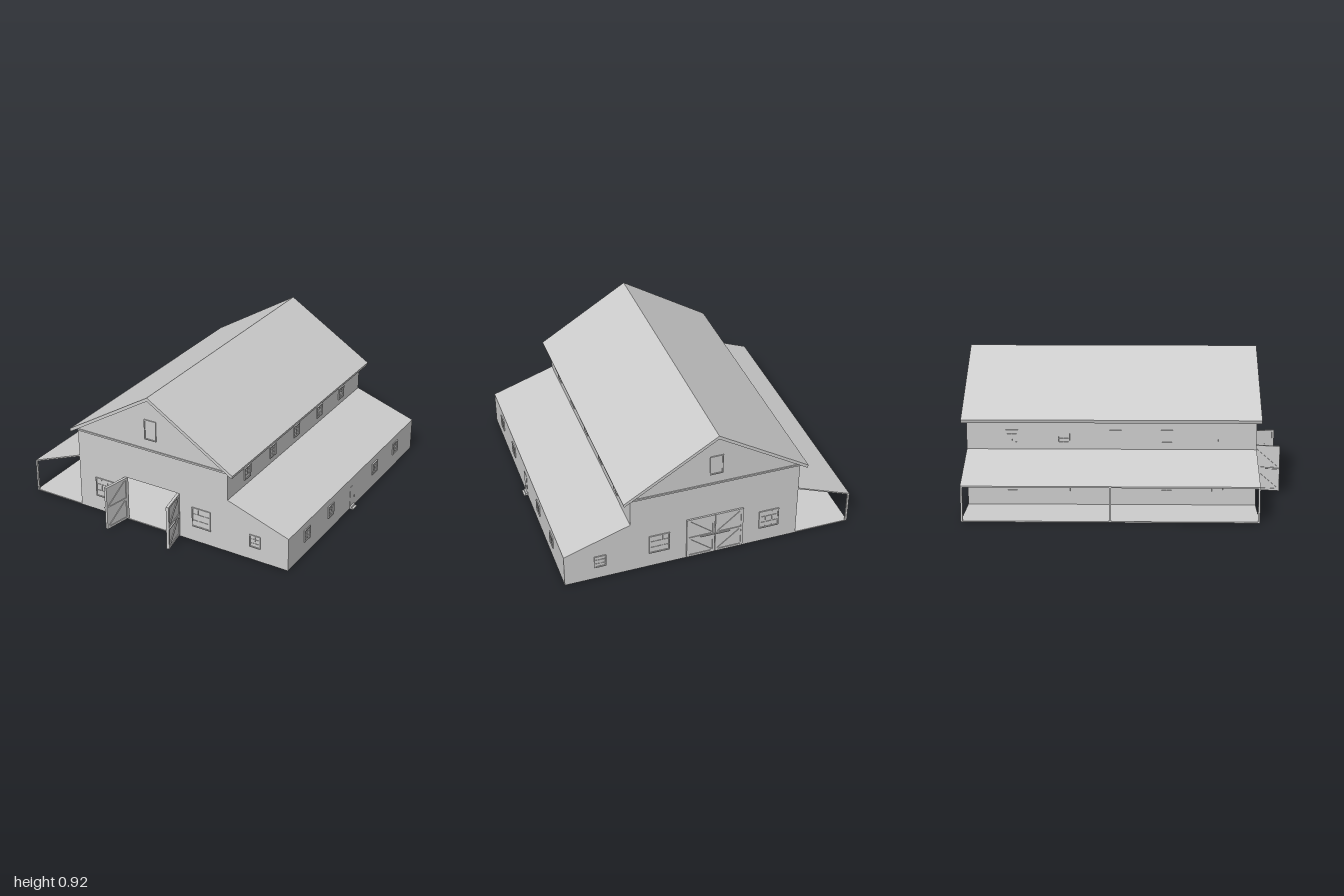
import * as THREE from 'three';

const paint = new THREE.MeshStandardMaterial({ color: 0xcccccc });
paint.name = 'pale grey';

const FRONT = 0.82, BACK = -0.97, LEFT = -0.59, RIGHT = 0.505, RIDGE = -0.04, OUTER = 0.925, PORCH = -0.95;
const WALL = 0.01, LENGTH = FRONT - BACK, MID = (FRONT + BACK) / 2;

// Box given by its minimum and maximum corners
function box(parent, name, x0, x1, y0, y1, z0, z1) {
  const mesh = new THREE.Mesh(new THREE.BoxGeometry(x1 - x0, y1 - y0, z1 - z0), paint);
  mesh.position.set((x0 + x1) / 2, (y0 + y1) / 2, (z0 + z1) / 2);
  mesh.name = name;
  parent.add(mesh);
  return mesh;
}

// Outline in x, y extruded along z
function prism(parent, name, points, z0, z1) {
  const shape = new THREE.Shape(points.map(([x, y]) => new THREE.Vector2(x, y)));
  const geometry = new THREE.ExtrudeGeometry(shape, { depth: z1 - z0, bevelEnabled: false });
  geometry.translate(0, 0, z0);
  const mesh = new THREE.Mesh(geometry, paint);
  mesh.name = name;
  parent.add(mesh);
}

// Flat bar between two points in x, y
function bar(parent, name, [ax, ay], [bx, by], width, depth, z) {
  const mesh = new THREE.Mesh(new THREE.BoxGeometry(Math.hypot(bx - ax, by - ay), width, depth), paint);
  mesh.position.set((ax + bx) / 2, (ay + by) / 2, z);
  mesh.rotation.z = Math.atan2(by - ay, bx - ax);
  mesh.name = name;
  parent.add(mesh);
}

// Framed window facing +z, then turned to its wall
function makeWindow(parent, name, w, h, cols, rows, position, turn) {
  const g = new THREE.Group();
  const t = 0.007, d = 0.007;
  box(g, 'pane', -w / 2, w / 2, -h / 2, h / 2, 0, 0.002);
  for (const s of [-1, 1]) {
    const x = s * (w - t) / 2, y = s * (h - t) / 2;
    box(g, 'sideFrame', x - t / 2, x + t / 2, -h / 2, h / 2, 0, d);
    box(g, 'crossFrame', -w / 2 + t, w / 2 - t, y - t / 2, y + t / 2, 0, d);
  }
  for (let i = 1; i < cols; i++) {
    const x = -w / 2 + (w * i) / cols;
    box(g, 'mullion', x - 0.002, x + 0.002, -h / 2 + t, h / 2 - t, 0, 0.005);
  }
  for (let i = 1; i < rows; i++) {
    const y = -h / 2 + (h * i) / rows;
    box(g, 'glazingBar', -w / 2 + t, w / 2 - t, y - 0.002, y + 0.002, 0, 0.005);
  }
  g.position.set(...position);
  g.rotation.y = turn;
  g.name = name;
  parent.add(g);
}

// Braced door leaf: hinge at x = 0, running towards +x
function doorLeaf(name, mirrored) {
  const g = new THREE.Group();
  const w = 0.183, y0 = 0.01, y1 = 0.305, mid = 0.157, t = 0.014;
  box(g, 'panel', 0, w, y0, y1, -0.004, 0.004);
  for (const z of [-0.006, 0.006]) {
    for (const x of [t / 2, w - t / 2]) bar(g, 'stile', [x, y0], [x, y1], t, 0.006, z);
    for (const y of [y0 + t / 2, mid, y1 - t / 2]) bar(g, 'rail', [t, y], [w - t, y], t, 0.006, z);
    bar(g, 'upperBrace', [t, y1 - t], [w - t, mid + t / 2], 0.01, 0.005, z);
    bar(g, 'lowerBrace', [t, mid - t / 2], [w - t, y0 + t], 0.01, 0.005, z);
  }
  const outside = mirrored ? -0.013 : 0.013;
  bar(g, 'latchBar', [0.09, mid], [w, mid], 0.007, 0.009, outside);
  g.name = name;
  return g;
}

export function createModel() {
  const barn = new THREE.Group();
  barn.name = 'barn';

  // Floor, end walls and side walls
  box(barn, 'floor', PORCH, OUTER, 0, 0.007, BACK, FRONT);
  const upper = [[OUTER, 0], [OUTER, 0.22], [RIGHT, 0.36], [RIGHT, 0.565], [RIDGE, 0.899], [LEFT, 0.565], [LEFT, 0]];
  const doorway = [[-0.225, 0], [-0.225, 0.305], [0.145, 0.305], [0.145, 0]];
  prism(barn, 'frontWall', [...upper, ...doorway], FRONT - WALL, FRONT);
  prism(barn, 'backWall', upper, BACK, BACK + WALL);
  box(barn, 'leftWall', LEFT, LEFT + WALL, 0, 0.565, BACK + WALL, FRONT - WALL);
  box(barn, 'rightWall', RIGHT - WALL, RIGHT, 0, 0.565, BACK + WALL, FRONT - WALL);
  box(barn, 'sideShedWall', OUTER - WALL, OUTER, 0, 0.216, BACK + WALL, FRONT - WALL);

  // Main roof with overhanging eaves
  prism(barn, 'mainRoof', [[-0.632, 0.555], [-0.627, 0.535], [RIDGE, 0.897], [0.55, 0.535],
    [0.555, 0.555], [RIDGE, 0.92]], -1, 0.85);

  // Lean-to roofs
  prism(barn, 'sideShedRoof', [[RIGHT, 0.351], [OUTER, 0.211], [OUTER, 0.221], [RIGHT, 0.362]], BACK, FRONT);
  prism(barn, 'porchRoof', [[PORCH, 0.214], [LEFT, 0.353], [LEFT, 0.362], [PORCH, 0.223]], BACK, FRONT);

  // Porch posts
  for (const z of [FRONT - 0.006, MID, BACK + 0.006]) {
    box(barn, 'porchPost', PORCH, PORCH + 0.012, 0, 0.218, z - 0.006, z + 0.006);
  }

  // Trim under the gables, and gable and ground floor windows at both ends
  for (const s of [1, -1]) {
    const z = s > 0 ? FRONT : BACK, turn = s > 0 ? 0 : Math.PI;
    box(barn, 'gableTrim', LEFT, RIGHT, 0.543, 0.554, z - 0.007, z + 0.007);
    makeWindow(barn, 'gableHatch', 0.085, 0.135, 1, 1, [RIDGE, 0.687, z], turn);
    for (const x of [-0.4, 0.32]) makeWindow(barn, 'largeWindow', 0.132, 0.134, 3, 3, [x, 0.172, z], turn);
    makeWindow(barn, 'shedEndWindow', 0.075, 0.085, 2, 3, [0.698, 0.132, z], turn);
  }

  // Windows along the sides
  [0.585, 0.267, -0.05, -0.37, -0.69].forEach((z, i) => {
    makeWindow(barn, 'rightClerestoryWindow', 0.075, 0.082, 2, 3, [RIGHT, 0.443, z], Math.PI / 2);
    makeWindow(barn, 'leftClerestoryWindow', 0.075, 0.082, 2, 3, [LEFT, 0.443, z], -Math.PI / 2);
    if (i === 2) return;
    makeWindow(barn, 'rightWindow', 0.075, 0.082, 2, 3, [OUTER, 0.135, z], Math.PI / 2);
    makeWindow(barn, 'leftWindow', 0.075, 0.082, 2, 3, [LEFT, 0.135, z], -Math.PI / 2);
  });

  // Small side door with knob and step
  box(barn, 'sideDoor', OUTER, OUTER + 0.002, 0.015, 0.16, -0.07, -0.01);
  box(barn, 'doorKnob', OUTER, OUTER + 0.009, 0.072, 0.08, -0.065, -0.058);
  box(barn, 'doorStep', OUTER, OUTER + 0.013, 0, 0.018, -0.066, -0.012);
  box(barn, 'lowerDoorStep', OUTER, OUTER + 0.026, 0, 0.008, -0.066, -0.012);

  // Open front doors
  const tilt = 0.19;
  const frontLeft = doorLeaf('frontDoorLeft', false);
  frontLeft.position.set(0.153, 0, FRONT - 0.002);
  frontLeft.rotation.y = -Math.PI / 2 + tilt;
  const frontRight = doorLeaf('frontDoorRight', true);
  frontRight.position.set(-0.233, 0, FRONT - 0.002);
  frontRight.rotation.y = -Math.PI / 2 - tilt;
  // The latch belongs on the face turned away from the doorway
  frontLeft.getObjectByName('latchBar').position.z = -0.013;
  frontRight.getObjectByName('latchBar').position.z = 0.013;

  // Closed back doors
  const backLeft = doorLeaf('backDoorLeft', true);
  backLeft.position.set(0.145, 0, BACK - 0.002);
  backLeft.rotation.y = Math.PI;
  backLeft.getObjectByName('latchBar').position.z = 0.011;
  const backRight = doorLeaf('backDoorRight', true);
  backRight.position.set(-0.225, 0, BACK - 0.002);
  barn.add(frontLeft, frontRight, backLeft, backRight);
  return barn;
}
